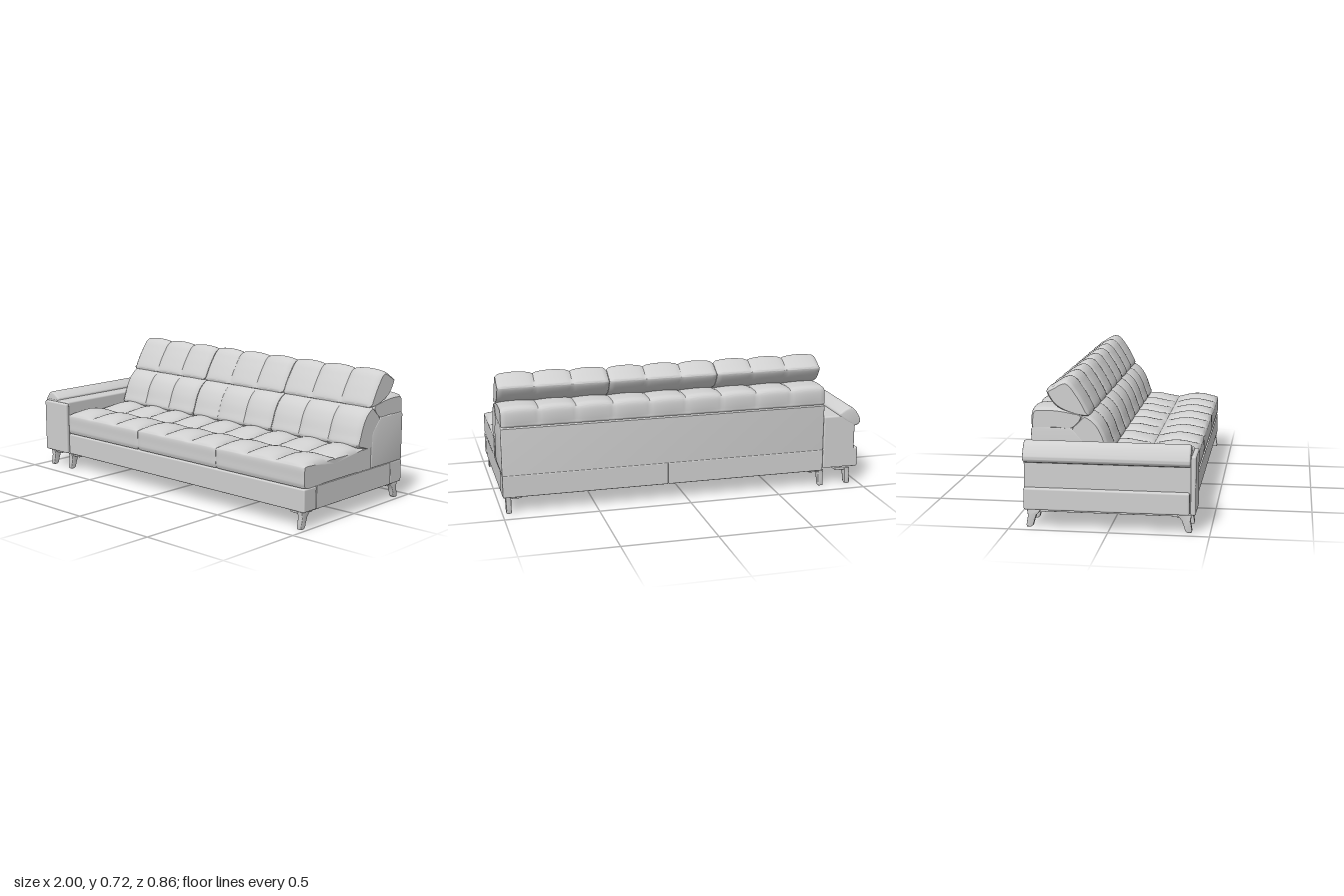
import * as THREE from 'three';
import { toCreasedNormals } from 'three/addons/utils/BufferGeometryUtils.js';
import { RoundedBoxGeometry } from 'three/addons/geometries/RoundedBoxGeometry.js';

const upholstery = new THREE.MeshStandardMaterial({ color: 0xd0d0d0 });
upholstery.name = 'light grey';

function add(parent, name, geometry) {
  const mesh = new THREE.Mesh(geometry, upholstery);
  mesh.name = name;
  parent.add(mesh);
  return mesh;
}

// Rounded box given by its limits
function box(x0, x1, y0, y1, z0, z1, r = 0.008) {
  const g = new RoundedBoxGeometry(x1 - x0, y1 - y0, z1 - z0, 3, r);
  return g.translate((x0 + x1) / 2, (y0 + y1) / 2, (z0 + z1) / 2);
}

// Removes the faces lying below a height, leaving a shell open underneath
function openBelow(geometry, y) {
  const g = geometry.index ? geometry.toNonIndexed() : geometry;
  const p = g.attributes.position, kept = [];
  for (let i = 0; i < p.count; i += 3) {
    if ((p.getY(i) + p.getY(i + 1) + p.getY(i + 2)) / 3 > y) kept.push(i, i + 1, i + 2);
  }
  g.setIndex(kept);
  g.clearGroups();
  return g;
}

// Side profile [z, y] extruded along x with a rounded edge
function slab(points, x0, x1, r) {
  const shape = new THREE.Shape(points.map(([z, y]) => new THREE.Vector2(-z, y)));
  const g = new THREE.ExtrudeGeometry(shape, {
    depth: x1 - x0 - 2 * r, bevelThickness: r, bevelSize: r, bevelOffset: -r, bevelSegments: 3,
  });
  return toCreasedNormals(g.rotateY(Math.PI / 2).translate(x0 + r, 0, 0), 0.6);
}

// Tufted cushion: closed profile [z, y, seam depth] swept along x,
// drawn in at every seam between its tufts
function cushion(profile, x0, x1, tufts, edge = 0.006) {
  const curve = new THREE.CatmullRomCurve3(
    profile.map(([z, y, w = 0]) => new THREE.Vector3(z, y, w)), true, 'centripetal');
  const pts = curve.getPoints(72).slice(0, -1);
  const m = pts.length, steps = tufts * 14, pos = [], idx = [];
  const normals = pts.map((p, i) => {
    const a = pts[(i + m - 1) % m], b = pts[(i + 1) % m];
    return new THREE.Vector2(b.y - a.y, a.x - b.x).normalize();
  });
  for (let s = 0; s <= steps; s++) {
    const u = s / steps, x = x0 + (x1 - x0) * u;
    const puff = Math.pow(Math.abs(Math.sin(Math.PI * tufts * u)), 0.55);
    const end = s === 0 || s === steps ? edge : 0;
    pts.forEach((p, i) => {
      const d = Math.max(0, p.z) * (1 - puff) + end;
      pos.push(x, p.y - normals[i].y * d, p.x - normals[i].x * d);
    });
  }
  for (let s = 0; s < steps; s++) {
    for (let i = 0; i < m; i++) {
      const j = (i + 1) % m, a = s * m, b = a + m;
      idx.push(a + i, b + i, b + j, a + i, b + j, a + j);
    }
  }
  // End caps
  const c = pts.reduce((v, p) => v.add(p), new THREE.Vector3()).divideScalar(m);
  const c0 = pos.length / 3, last = steps * m;
  pos.push(x0, c.y, c.x, x1, c.y, c.x);
  for (let i = 0; i < m; i++) {
    const j = (i + 1) % m;
    idx.push(c0, i, j, c0 + 1, last + j, last + i);
  }
  const g = new THREE.BufferGeometry();
  g.setAttribute('position', new THREE.Float32BufferAttribute(pos, 3));
  g.setIndex(idx);
  return toCreasedNormals(g, 0.7);
}

const seatProfile = [
  [-0.078, 0.213], [0, 0.213], [0.2, 0.213], [0.398, 0.213], [0.408, 0.222], [0.41, 0.27], [0.41, 0.318],
  [0.404, 0.33, 0.005], [0.35, 0.353, 0.028], [0.28, 0.361, 0.036], [0.21, 0.348, 0.023],
  [0.166, 0.328, 0.002], [0.16, 0.324], [0.154, 0.328, 0.002], [0.1, 0.345, 0.02],
  [0.03, 0.36, 0.035], [-0.04, 0.354, 0.029], [-0.084, 0.332, 0.007], [-0.09, 0.315], [-0.09, 0.228],
];
const backProfile = [
  [-0.135, 0.316], [-0.08, 0.326, 0.004], [-0.028, 0.34, 0.008], [-0.017, 0.355, 0.012],
  [-0.03, 0.4, 0.014], [-0.05, 0.455, 0.014], [-0.08, 0.505, 0.014], [-0.118, 0.536, 0.012],
  [-0.152, 0.545, 0.008], [-0.185, 0.51, 0.002], [-0.217, 0.47], [-0.19, 0.4], [-0.155, 0.328],
];
const headProfile = [
  [-0.2, 0.545], [-0.13, 0.537, 0.004], [-0.125, 0.55, 0.01], [-0.155, 0.615, 0.012],
  [-0.185, 0.665, 0.014], [-0.215, 0.705, 0.015], [-0.245, 0.722, 0.015], [-0.275, 0.715, 0.014],
  [-0.315, 0.69, 0.012], [-0.348, 0.668, 0.01], [-0.349, 0.655, 0.008], [-0.3, 0.585, 0.005],
];
const bolsterProfile = [
  [-0.42, 0.472], [-0.3, 0.472], [-0.215, 0.472], [-0.165, 0.525], [-0.17, 0.548, 0.004],
  [-0.22, 0.567, 0.01], [-0.29, 0.58, 0.013], [-0.36, 0.583, 0.014], [-0.41, 0.576, 0.013],
  [-0.425, 0.557, 0.011], [-0.426, 0.49, 0.004],
];

export function createModel() {
  const sofa = new THREE.Group();
  sofa.name = 'sofa';
  const left = 0.995, right = -0.782, width = (left - right) / 3;

  // Base: front rail, middle, back rail in two halves
  const base = new THREE.Group();
  base.name = 'base';
  sofa.add(base);
  add(base, 'frontRail', box(right, left, 0.092, 0.212, 0.31, 0.41));
  add(base, 'middleBase', box(right, left - 0.001, 0.092, 0.212, -0.325, 0.31, 0.003));
  add(base, 'backRailRight', box(right, 0.106, 0.092, 0.212, -0.426, -0.325, 0.005));
  add(base, 'backRailLeft', box(0.106, left, 0.092, 0.212, -0.426, -0.325, 0.005));

  // Back frame and the filler behind the seat
  add(sofa, 'backFrame', slab([
    [-0.426, 0.212], [-0.146, 0.212], [-0.148, 0.39], [-0.155, 0.408], [-0.205, 0.465],
    [-0.225, 0.478], [-0.415, 0.478], [-0.426, 0.465],
  ], right, left, 0.008));
  add(sofa, 'seatFiller', box(right, left - 0.005, 0.205, 0.325, -0.16, -0.08, 0.003));
  add(sofa, 'backBolster', cushion(bolsterProfile, right, left - 0.003, 9));

  // Three seats, each three tufts wide
  for (let i = 0; i < 3; i++) {
    const x0 = right + i * width + 0.001, x1 = x0 + width - 0.002;
    add(sofa, 'seatCushion', cushion(seatProfile, x0, x1, 3, 0.003));
    add(sofa, 'backCushion', cushion(backProfile, x0, x1, 3));
    add(sofa, 'headrest', cushion(headProfile, x0, x1, 3));
  }

  // Arm, open underneath
  const arm = new THREE.Group();
  arm.name = 'arm';
  sofa.add(arm);
  add(arm, 'armBody', openBelow(box(-0.968, -0.783, 0.096, 0.402, -0.424, 0.408, 0.01), 0.107));
  add(arm, 'armFrontPanel', box(-0.972, -0.777, 0.096, 0.394, 0.404, 0.43, 0.01));
  add(arm, 'armOuterBand', openBelow(box(-0.99, -0.95, 0.1, 0.212, -0.424, 0.4, 0.01), 0.102));
  const rollOutline = new THREE.SplineCurve([
    [-0.965, 0.336], [-0.9, 0.375], [-0.873, 0.403], [-0.888, 0.422], [-0.92, 0.44],
    [-0.945, 0.444], [-0.97, 0.425], [-0.993, 0.388], [-1, 0.364], [-0.99, 0.346], [-0.965, 0.336],
  ].map(([x, y]) => new THREE.Vector2(x, y)));
  const roll = new THREE.ExtrudeGeometry(new THREE.Shape(rollOutline.getPoints(44).slice(0, -1)), {
    depth: 0.81, bevelThickness: 0.01, bevelSize: 0.01, bevelOffset: -0.01, bevelSegments: 3,
  });
  add(arm, 'armRoll', toCreasedNormals(roll.translate(0, 0, -0.415), 0.7));

  // Legs with mounting plates, and the thin rails joining front to back
  const legProfile = [
    [0.408, 0.093], [0.403, 0.06], [0.411, 0.012], [0.408, 0.002], [0.388, 0.002],
    [0.377, 0.01], [0.37, 0.035], [0.36, 0.062], [0.342, 0.084], [0.335, 0.093],
  ];
  for (const [x, dir] of [[-0.935, 1], [-0.777, 1], [0.965, -1]]) {
    for (const front of [true, false]) {
      const points = front ? legProfile : legProfile.map(([z, y]) => [-z - 0.008, y]).reverse();
      add(sofa, front ? 'frontLeg' : 'backLeg', slab(points, x - 0.014, x + 0.014, 0.004));
      const zc = front ? 0.355 : -0.363, xc = x + dir * 0.03;
      add(sofa, 'legPlate', box(xc - 0.038, xc + 0.038, 0.078, 0.094, zc - 0.04, zc + 0.04, 0.002));
    }
    add(sofa, 'legRail', box(x - 0.008, x + 0.008, 0.082, 0.096, -0.33, 0.32, 0.002));
  }
  return sofa;
}
